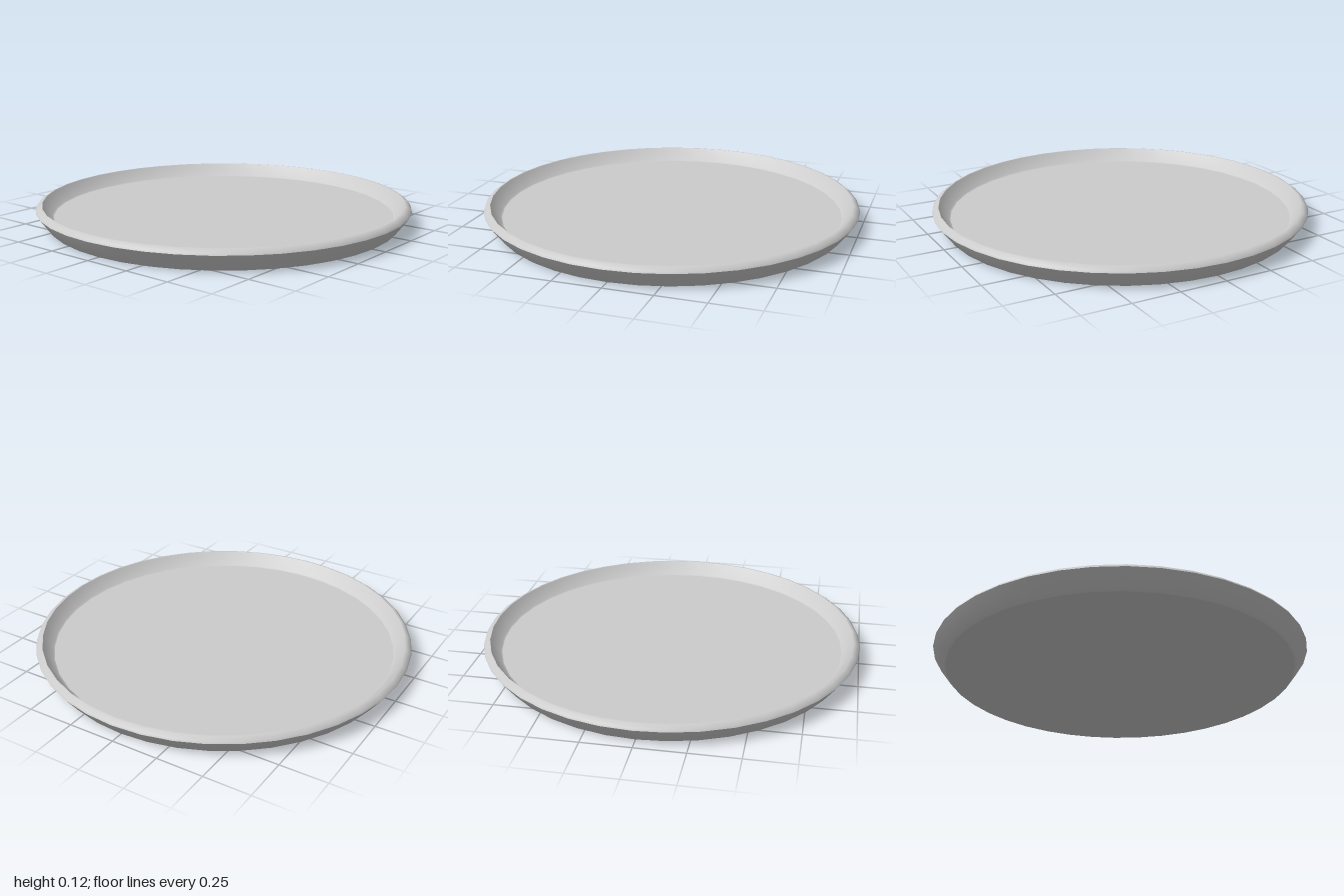
import * as THREE from 'three';
import { toCreasedNormals } from 'three/addons/utils/BufferGeometryUtils.js';

const SIDES = 40;

export function createModel() {
  const group = new THREE.Group();
  group.name = 'tray';
  const material = new THREE.MeshStandardMaterial({ color: 0xcccccc });

  const addPart = (name, geometry) => {
    const mesh = new THREE.Mesh(geometry, material);
    mesh.name = name;
    group.add(mesh);
    return mesh;
  };

  // Flared wall: outer slope, bevelled rim, inner slope
  const profile = [
    [0.93, 0], [0.937, 0.005], [1, 0.09], [0.995, 0.1], [0.975, 0.115],
    [0.966, 0.116], [0.961, 0.11], [0.917, 0.05], [0.908, 0.046],
  ].map(([r, y]) => new THREE.Vector2(r, y));
  addPart('rimWall', toCreasedNormals(new THREE.LatheGeometry(profile, SIDES), Math.PI / 5));

  // Flat serving surface inside the wall
  const floor = addPart('floor', new THREE.CircleGeometry(0.908, SIDES));
  floor.rotation.x = -Math.PI / 2;
  floor.position.y = 0.046;

  // Flat underside
  const base = addPart('base', new THREE.CircleGeometry(0.93, SIDES));
  base.rotation.x = Math.PI / 2;

  return group;
}
